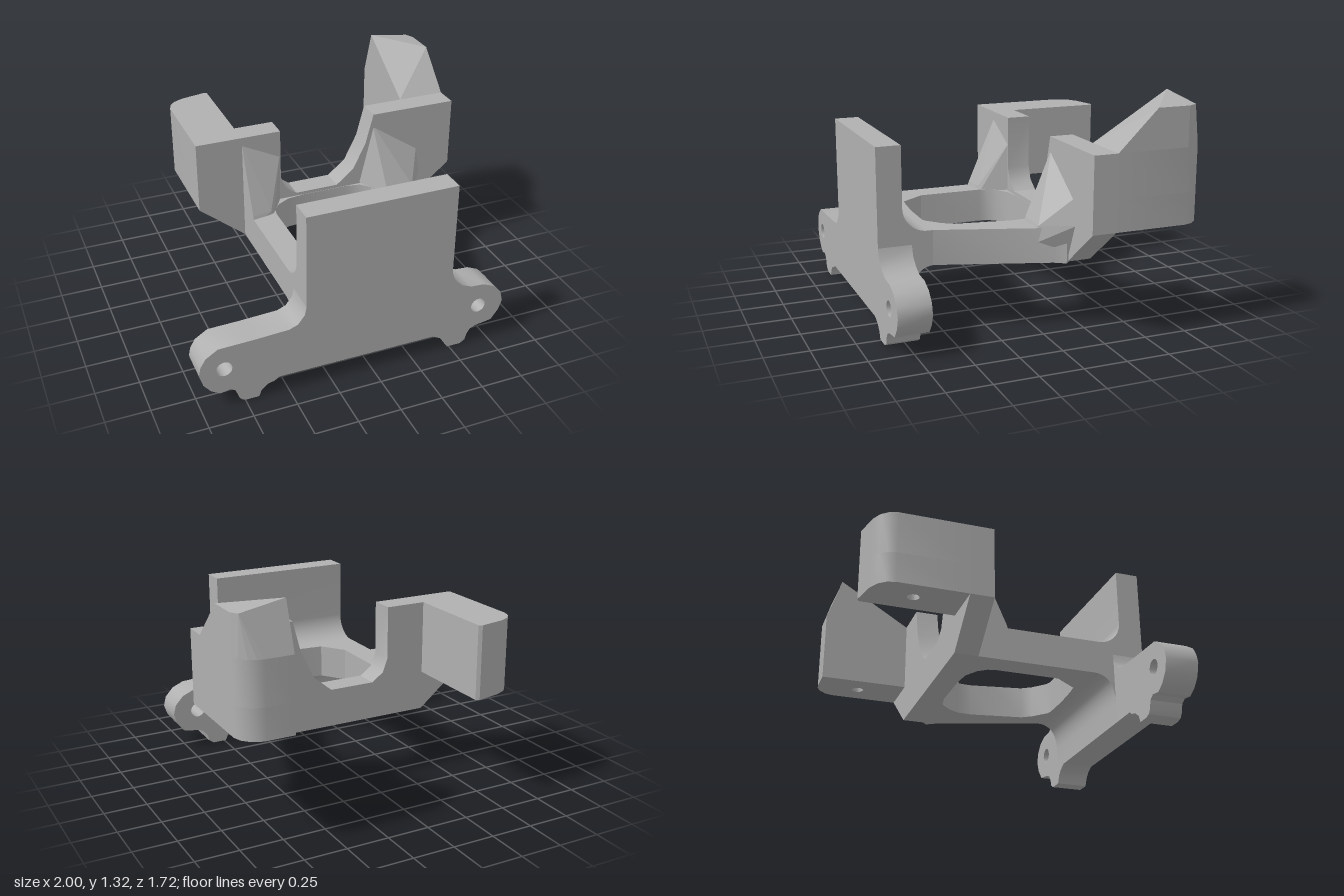
import * as THREE from 'three';
import { toCreasedNormals } from 'three/addons/utils/BufferGeometryUtils.js';
import { ConvexGeometry } from 'three/addons/geometries/ConvexGeometry.js';

const grey = new THREE.MeshStandardMaterial({ color: 0xb0b0b0 });
grey.name = 'machinedGrey';

export function createModel() {
  const model = new THREE.Group();
  model.name = 'mountingBracket';

  const add = (name, geometry) => {
    const mesh = new THREE.Mesh(geometry, grey);
    mesh.name = name;
    model.add(mesh);
  };
  const circle = (x, y, r) => new THREE.Path().absarc(x, y, r, 0, Math.PI * 2, true);
  const outline = (pts) => new THREE.Shape(pts.map(([a, b]) => new THREE.Vector2(a, b)));
  const extrude = (shape, depth) => toCreasedNormals(
    new THREE.ExtrudeGeometry(shape, { depth, bevelEnabled: false, curveSegments: 10 }), 0.6);

  // Outline in x, y pushed from z0 to z1
  const wall = (name, pts, z0, z1, holes = []) => {
    const shape = outline(pts);
    shape.holes.push(...holes);
    add(name, extrude(shape, z1 - z0).translate(0, 0, z0));
  };
  // Outline in x, z raised from y0 to y1
  const slab = (name, pts, y0, y1, holes = []) => {
    const shape = outline(pts.map(([x, z]) => [x, -z]));
    shape.holes.push(...holes);
    add(name, extrude(shape, y1 - y0).rotateX(-Math.PI / 2).translate(0, y0, 0));
  };
  const hull = (name, pts) =>
    add(name, new ConvexGeometry(pts.map((p) => new THREE.Vector3(...p))));

  // Front plate with fillets above and below the deck (side profile in -z, y)
  const profile = new THREE.Shape();
  profile.moveTo(-0.86, 0.1);
  profile.lineTo(-0.67, 0.1);
  profile.lineTo(-0.67, 0.23);
  profile.quadraticCurveTo(-0.665, 0.39, -0.54, 0.39);
  profile.lineTo(-0.54, 0.59);
  profile.lineTo(-0.58, 0.59);
  profile.absarc(-0.58, 0.73, 0.14, -Math.PI / 2, -Math.PI, true);
  profile.lineTo(-0.72, 1.075);
  profile.lineTo(-0.86, 1.075);
  add('frontPlate', extrude(profile, 0.88).rotateY(Math.PI / 2).translate(-0.39, 0, 0));

  // Mounting ears with bolt holes and small feet
  wall('rightEar', [
    [-0.39, 0.52], [-0.4, 0.47], [-0.44, 0.42], [-0.49, 0.4], [-0.7, 0.39], [-0.89, 0.385],
    [-0.96, 0.34], [-0.99, 0.29], [-1, 0.24], [-0.98, 0.17], [-0.94, 0.12], [-0.89, 0.09],
    [-0.83, 0.1], [-0.8, 0.08], [-0.785, 0.03], [-0.77, 0.01], [-0.74, 0], [-0.67, 0],
    [-0.655, 0.04], [-0.62, 0.07], [-0.58, 0.08], [-0.55, 0.1], [-0.39, 0.1],
  ], 0.67, 0.86, [circle(-0.86, 0.245, 0.045)]);
  wall('leftEar', [
    [0.49, 0.52], [0.49, 0.1], [0.39, 0.1], [0.44, 0.075], [0.47, 0.045], [0.49, 0],
    [0.575, 0], [0.605, 0.02], [0.615, 0.06], [0.635, 0.09], [0.67, 0.105], [0.77, 0.12],
    [0.815, 0.18], [0.835, 0.24], [0.82, 0.3], [0.77, 0.355], [0.7, 0.385], [0.62, 0.39],
    [0.56, 0.415], [0.51, 0.46],
  ], 0.67, 0.86, [circle(0.675, 0.245, 0.045)]);

  // Deck with its large opening
  const opening = [
    [-0.24, 0], [-0.23, -0.05], [-0.19, -0.1], [-0.11, -0.145], [0, -0.158], [0.28, -0.158],
    [0.37, -0.14], [0.43, -0.08], [0.47, -0.01], [0.475, 0.08], [0.45, 0.22], [0.42, 0.4],
    [0.38, 0.46], [0.3, 0.53], [0.24, 0.55], [-0.06, 0.53], [-0.14, 0.52], [-0.19, 0.45],
    [-0.24, 0.38],
  ];
  slab('deck', [
    [-0.39, 0.6], [0.49, 0.6], [0.49, 0.55], [0.7, -0.08], [0.74, -0.14], [0.71, -0.17],
    [0.71, -0.2], [-0.39, -0.2],
  ], 0.39, 0.59, [new THREE.Path(opening.map(([x, z]) => new THREE.Vector2(x, -z)))]);

  // Rear cross wall with a central notch and chamfered lower corners
  wall('rearWall', [
    [-0.67, 0.62], [-0.39, 0.39], [0.71, 0.39], [1, 0.62], [1, 1.05], [0.46, 1.05],
    [0.41, 0.86], [0.33, 0.7], [0.22, 0.61], [-0.05, 0.61], [-0.12, 0.66], [-0.15, 0.74],
    [-0.15, 1.05], [-0.67, 1.05],
  ], -0.3, -0.16);

  // Gussets from the deck up to the rear wall
  hull('rightGusset', [
    [-0.39, 0.55, 0.03], [-0.26, 0.55, 0], [-0.39, 0.61, 0.01], [-0.27, 0.61, -0.01],
    [-0.2, 0.58, -0.1], [-0.15, 0.6, -0.17], [-0.39, 0.55, -0.17],
    [-0.39, 1.02, -0.17], [-0.15, 0.9, -0.17],
  ]);
  hull('leftGusset', [
    [0.49, 0.55, 0.02], [0.66, 0.5, 0.02], [0.49, 0.61, 0], [0.665, 0.6, 0],
    [0.43, 0.58, -0.1], [0.37, 0.6, -0.17], [0.46, 0.98, -0.17], [0.77, 0.77, -0.17],
    [0.8, 0.62, -0.17], [0.72, 0.42, -0.17],
  ]);

  // Rear arms, each with a blind screw hole underneath
  const rightArm = [
    [-0.39, -0.29], [-0.39, -0.85], [-0.41, -0.862], [-0.56, -0.83], [-0.62, -0.8],
    [-0.655, -0.76], [-0.67, -0.71], [-0.67, -0.29],
  ];
  const leftArm = [
    [0.71, -0.29], [1, -0.29], [1, -0.72], [0.985, -0.77], [0.95, -0.81], [0.91, -0.833],
    [0.87, -0.84], [0.71, -0.84],
  ];
  for (const [name, pts, x] of [['rightArm', rightArm, -0.53], ['leftArm', leftArm, 0.855]]) {
    slab(name + 'Base', pts, 0.62, 0.8, [circle(x, 0.58, 0.035)]);
    slab(name, pts, 0.8, 1.05);
  }

  // Sloped horn on top of the taller arm
  hull('leftArmHorn', [
    ...leftArm.map(([x, z]) => [x, 1.05, z === -0.29 ? -0.3 : z]),
    [1, 1.275, -0.53], [1, 1.275, -0.72], [0.975, 1.277, -0.77], [0.71, 1.32, -0.75],
  ]);

  return model;
}
